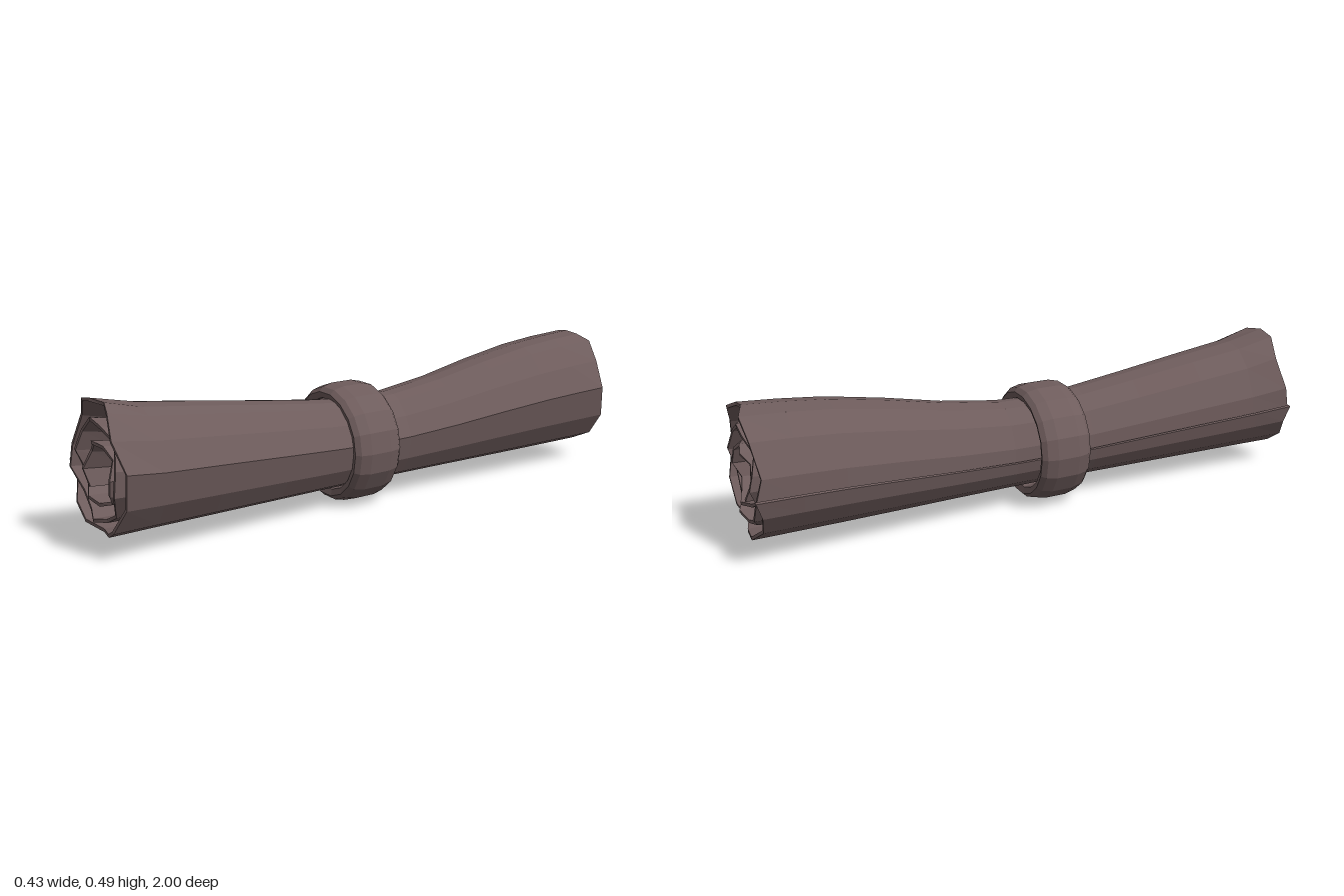
import * as THREE from 'three';

const material = new THREE.MeshStandardMaterial({ color: 0x6e5c5c, flatShading: true });

// Spiral cross-section at the flared ends, from the innermost edge to the outer flap
const SPIRAL = [
  [-0.062, 0.192], [-0.078, 0.252], [-0.055, 0.312], [-0.03, 0.343], [0.01, 0.358], [0.062, 0.35], [0.102, 0.315], [0.126, 0.258],
  [0.112, 0.205], [0.075, 0.168], [0.018, 0.15], [-0.045, 0.162], [-0.1, 0.19], [-0.13, 0.25], [-0.13, 0.3], [-0.108, 0.365],
  [-0.06, 0.412], [0.005, 0.428], [0.07, 0.412], [0.12, 0.372], [0.16, 0.295], [0.158, 0.215], [0.105, 0.135], [0.055, 0.108],
  [-0.01, 0.095], [-0.075, 0.112], [-0.14, 0.155], [-0.185, 0.23], [-0.18, 0.305], [-0.13, 0.41], [-0.065, 0.474], [0.005, 0.487],
  [0.06, 0.48], [0.105, 0.458], [0.165, 0.39], [0.213, 0.295], [0.19, 0.18], [0.14, 0.1], [0.07, 0.066], [0, 0.06],
  [-0.09, 0.072], [-0.155, 0.118], [-0.2, 0.185], [-0.215, 0.245],
];

// Stations along the length: [z, scale], pinched at the ring
const STATIONS = [
  [0.985, 1], [0.85, 0.925], [0.65, 0.865], [0.4, 0.785], [0.2, 0.725], [0.05, 0.695],
  [-0.1, 0.705], [-0.3, 0.77], [-0.5, 0.865], [-0.7, 0.945], [-0.85, 0.98], [-0.985, 1],
];
const FLOOR = 0.06;
const THICKNESS = 0.011;

// Closed outline of the rolled sheet: outer side forward, inner side back
function sheetOutline() {
  const n = SPIRAL.length;
  const inner = SPIRAL.map(([x, y], i) => {
    const a = SPIRAL[Math.max(i - 1, 0)], b = SPIRAL[Math.min(i + 1, n - 1)];
    const dx = b[0] - a[0], dy = b[1] - a[1], l = Math.hypot(dx, dy);
    return [x + (dy / l) * THICKNESS, y - (dx / l) * THICKNESS];
  });
  return [...SPIRAL, ...inner.reverse()];
}

function rolledSheet() {
  const outline = sheetOutline();
  const n = SPIRAL.length, m = outline.length, last = STATIONS.length - 1;
  const positions = [], index = [];
  const quad = (a, b, c, d) => index.push(a, b, c, a, c, d);

  STATIONS.forEach(([z, s], k) => {
    outline.forEach(([x, y], i) => {
      // Ragged paper edge at both ends only
      const p = i < n ? i : m - 1 - i;
      const ragged = k === 0 || k === last ? 0.015 * Math.sin(p * 1.9 + k) : 0;
      positions.push(x * s, FLOOR + (y - FLOOR) * s, z + ragged);
    });
  });

  for (let k = 0; k < last; k++) {
    for (let i = 0; i < m; i++) {
      const j = (i + 1) % m;
      quad(k * m + i, k * m + j, (k + 1) * m + j, (k + 1) * m + i);
    }
  }
  // Narrow edge strips closing the two ends
  for (let i = 0; i < n - 1; i++) {
    const q = m - 1 - i, e = last * m;
    quad(i, q, q - 1, i + 1);
    quad(e + i, e + i + 1, e + q - 1, e + q);
  }

  const geometry = new THREE.BufferGeometry();
  geometry.setAttribute('position', new THREE.Float32BufferAttribute(positions, 3));
  geometry.setIndex(index);
  geometry.computeVertexNormals();
  return geometry;
}

// Rounded band, lathed from a closed profile
function bandGeometry() {
  const profile = [
    [0.16, -0.085], [0.182, -0.093], [0.197, -0.077], [0.206, -0.04], [0.206, 0.04],
    [0.197, 0.077], [0.182, 0.093], [0.16, 0.085], [0.154, 0.05], [0.154, -0.05], [0.16, -0.085],
  ].map(([r, y]) => new THREE.Vector2(r, y));
  return new THREE.LatheGeometry(profile, 18, Math.PI / 18).rotateX(Math.PI / 2);
}

export function createModel() {
  const group = new THREE.Group();
  group.name = 'rolledScroll';

  const sheet = new THREE.Mesh(rolledSheet(), material);
  sheet.name = 'rolledSheet';

  const band = new THREE.Mesh(bandGeometry(), material);
  band.name = 'ring';
  band.position.set(-0.01, 0.204, 0.06);

  group.add(sheet, band);
  return group;
}
